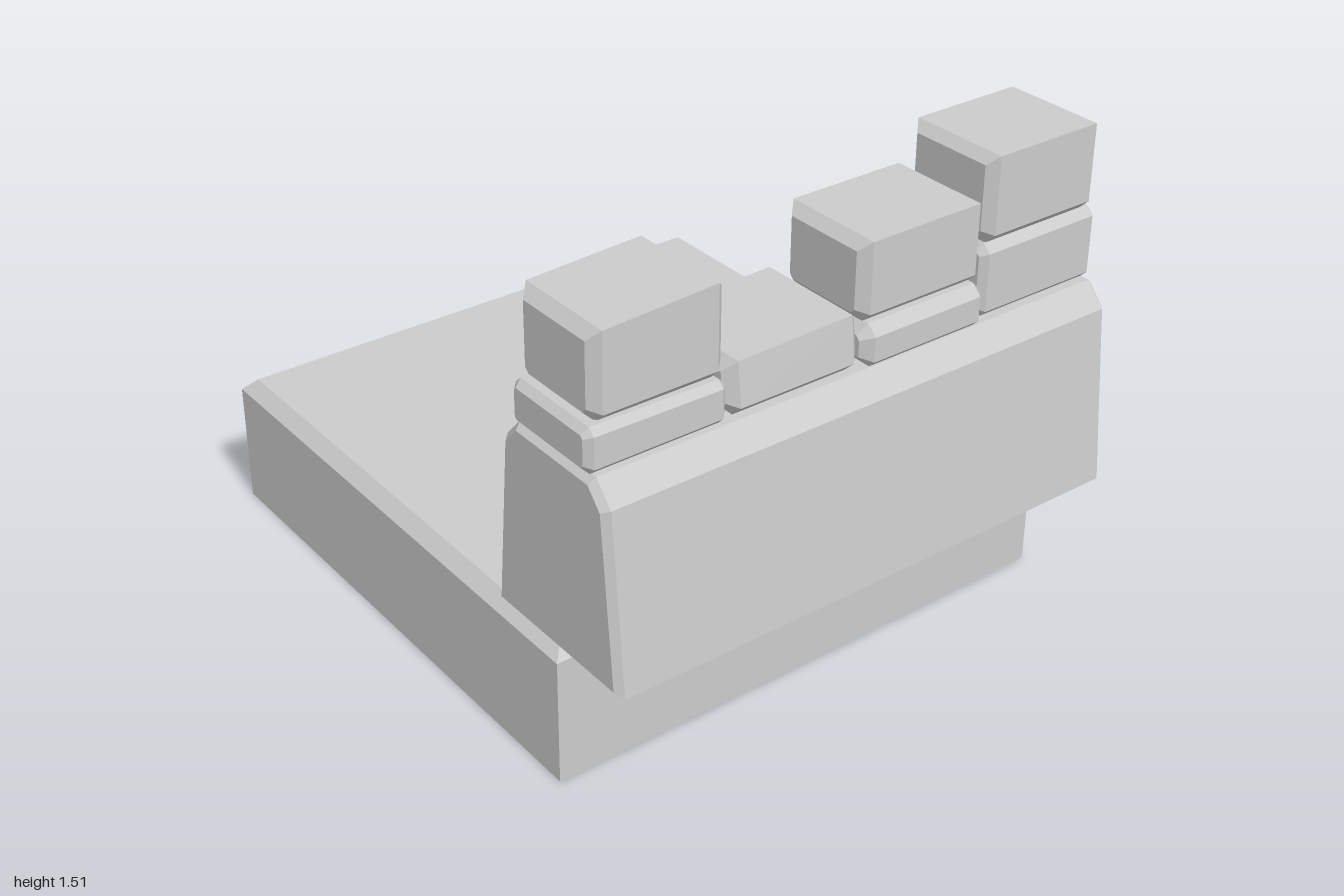
import * as THREE from 'three';

const mat = new THREE.MeshStandardMaterial({ color: 0xcccccc, flatShading: true });
const shellMat = new THREE.MeshStandardMaterial({ color: 0xcccccc, flatShading: true, side: THREE.DoubleSide });

function mesh(name, geo, material = mat) {
  const m = new THREE.Mesh(geo, material);
  m.name = name;
  return m;
}

// Stone: a [z, y] profile extruded along x from x0 to x1, with bevelled ends.
function stone(name, x0, x1, profile, bevel, tilt = 0) {
  const shape = new THREE.Shape(profile.map(([z, y]) => new THREE.Vector2(-z, y)));
  const geo = new THREE.ExtrudeGeometry(shape, {
    depth: x1 - x0 - 2 * bevel, bevelEnabled: true, bevelSegments: 1,
    bevelThickness: bevel, bevelSize: bevel, bevelOffset: -bevel,
  });
  geo.rotateY(Math.PI / 2).translate(x0 + bevel, 0, 0);
  // Tilt only the upper half so the bottom stays level
  const ys = profile.map((p) => p[1]);
  const mid = (Math.min(...ys) + Math.max(...ys)) / 2;
  const pos = geo.attributes.position;
  for (let i = 0; i < pos.count; i++) {
    if (pos.getY(i) > mid) pos.setY(i, pos.getY(i) + tilt * (pos.getX(i) - (x0 + x1) / 2));
  }
  geo.computeVertexNormals();
  return mesh(name, geo);
}

// Block profile with chamfers of height cb below and ct above
function blockProfile(z0, z1, y0, y1, cb, ct) {
  const p = [[z0 + cb, y0], [z1 - cb, y0], [z1, y0 + cb]];
  if (ct) p.push([z1, y1 - ct], [z1 - ct, y1], [z0 + ct, y1], [z0, y1 - ct]);
  else p.push([z1, y1], [z0, y1]);
  p.push([z0, y0 + cb]);
  return p;
}

// Open strip of quads joining stacked loops of points
function loopWalls(loops) {
  const n = loops[0].length;
  const index = [];
  for (let r = 0; r < loops.length - 1; r++) {
    for (let i = 0; i < n; i++) {
      const a = r * n + i, b = r * n + (i + 1) % n;
      index.push(a, b, b + n, a, b + n, a + n);
    }
  }
  const geo = new THREE.BufferGeometry();
  geo.setAttribute('position', new THREE.Float32BufferAttribute(loops.flat(2), 3));
  geo.setIndex(index);
  const flat = geo.toNonIndexed();
  flat.computeVertexNormals();
  return flat;
}

const W = 0.86, BACK = -1, FRONT = 0.73, TOP = 0.43, C = 0.04;
const HOLE_Z = -0.14, HOLE_R = 0.43, HOLE_Y = 0.315;

const rect = (y, inset) => [
  [-W + inset, y, FRONT - inset], [W - inset, y, FRONT - inset],
  [W - inset, y, BACK + inset], [-W + inset, y, BACK + inset],
];
const diamond = (y) => [
  [-HOLE_R, y, HOLE_Z], [0, y, HOLE_Z + HOLE_R], [HOLE_R, y, HOLE_Z], [0, y, HOLE_Z - HOLE_R],
];
// Horizontal sheet facing up, cut from a loop with an optional hole
function sheet(loop, hole) {
  const flat = (l) => l.map(([x, , z]) => new THREE.Vector2(x, -z));
  const shape = new THREE.Shape(flat(loop));
  if (hole) shape.holes.push(new THREE.Path(flat(hole)));
  return new THREE.ShapeGeometry(shape).rotateX(-Math.PI / 2).translate(0, loop[0][1], 0);
}

export function createModel() {
  const model = new THREE.Group();
  model.name = 'stoneFloorWithWall';

  // Hollow floor slab, open underneath, with a diamond recess
  const slab = new THREE.Group();
  slab.name = 'floorSlab';
  slab.add(
    mesh('slabSides', loopWalls([rect(0, 0), rect(TOP - C, 0), rect(TOP, C)]), shellMat),
    mesh('slabTop', sheet(rect(TOP, C), diamond(TOP)), shellMat),
    mesh('recessSides', loopWalls([diamond(TOP), diamond(HOLE_Y)]), shellMat),
    mesh('recessFloor', sheet(diamond(HOLE_Y)), shellMat),
  );
  model.add(slab);

  // Tapered wall along the front edge
  model.add(stone('wall', -W, W, [
    [1.0, 0.437], [0.95, 0.97], [0.89, 1.037], [0.565, 1.037], [0.505, 0.97], [0.455, 0.437],
  ], 0.02));

  // Uneven blocks along the top of the wall
  const blocks = [
    ['lowerBlockA', -0.865, -0.435, blockProfile(0.56, 0.89, 1.037, 1.165, 0.02, 0.02), 0.02, -0.015],
    ['upperBlockA', -0.84, -0.435, blockProfile(0.565, 0.88, 1.16, 1.428, 0.032, 0), 0.03, 0.045],
    ['shortBlock', -0.435, 0, [
      [0.57, 1.037], [0.86, 1.037], [0.895, 1.07], [0.88, 1.203], [0.55, 1.203], [0.54, 1.07],
    ], 0.032, 0.02],
    ['lowerBlockB', 0, 0.43, blockProfile(0.545, 0.905, 1.037, 1.16, 0.02, 0.03), 0.03],
    ['upperBlockB', 0, 0.43, blockProfile(0.565, 0.88, 1.155, 1.395, 0.03, 0), 0.03],
    ['lowerBlockC', 0.43, 0.86, blockProfile(0.565, 0.88, 1.037, 1.255, 0.02, 0.025), 0.02],
    ['upperBlockC', 0.43, 0.84, blockProfile(0.57, 0.885, 1.25, 1.515, 0.035, 0), 0.028],
  ];
  for (const b of blocks) model.add(stone(...b));

  return model;
}
